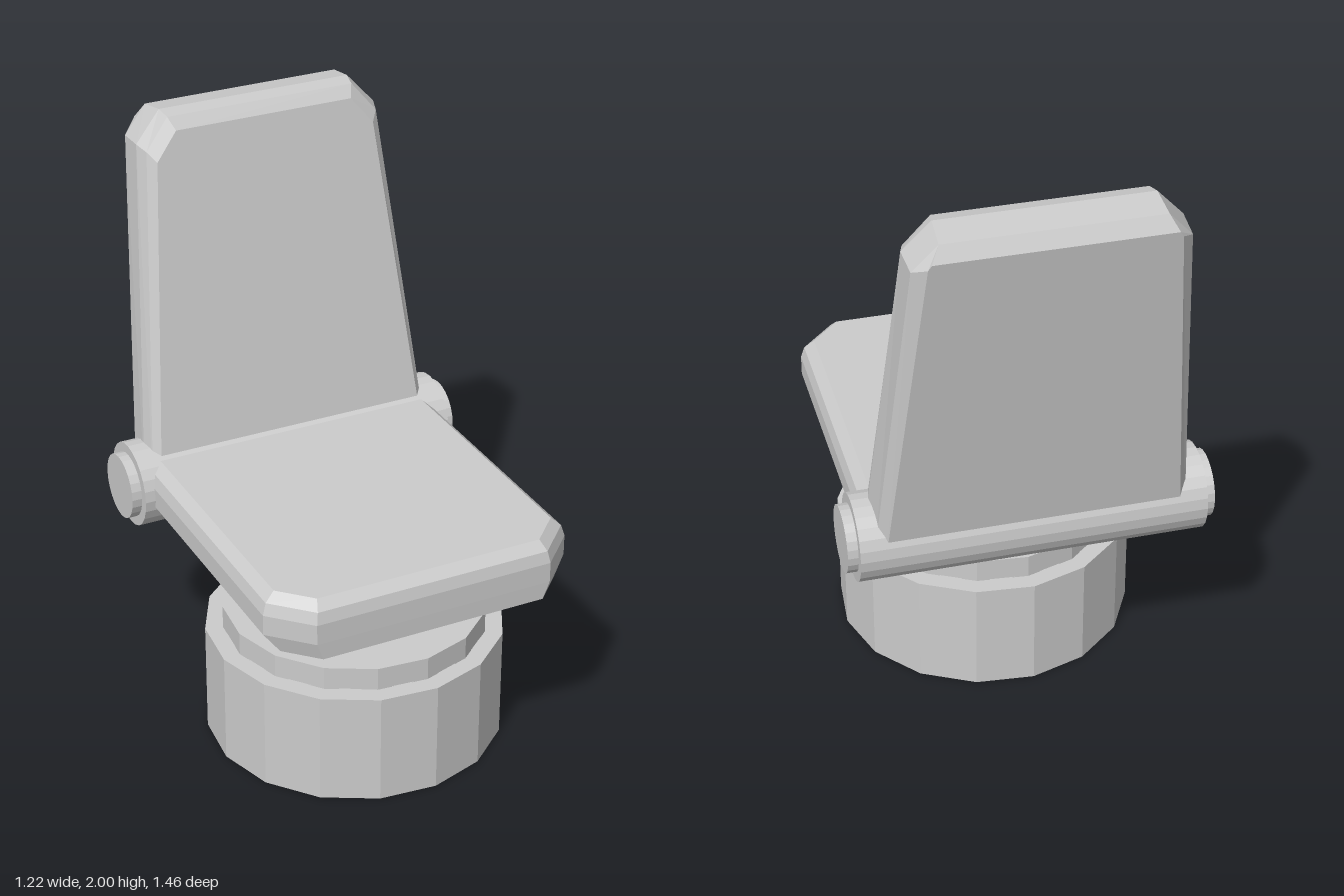
import * as THREE from 'three';

const material = new THREE.MeshStandardMaterial({ color: 0xcccccc, flatShading: true, side: THREE.DoubleSide });

function part(name, geometry) {
  const mesh = new THREE.Mesh(geometry, material);
  mesh.name = name;
  return mesh;
}

// Skin between counter-clockwise outlines stacked along z, capped at both ends
function loft(layers) {
  const n = layers[0].points.length;
  const positions = layers.flatMap(({ z, points }) => points.flatMap(([x, y]) => [x, y, z]));
  const index = [];
  for (let k = 0; k < layers.length - 1; k++) {
    for (let i = 0; i < n; i++) {
      const a = k * n + i, b = k * n + (i + 1) % n;
      index.push(a, b, b + n, a, b + n, a + n);
    }
  }
  const last = (layers.length - 1) * n;
  for (let i = 1; i < n - 1; i++) {
    index.push(0, i + 1, i, last, last + i, last + i + 1);
  }
  const geometry = new THREE.BufferGeometry();
  geometry.setAttribute('position', new THREE.Float32BufferAttribute(positions, 3));
  geometry.setIndex(index);
  const flat = geometry.toNonIndexed();
  flat.computeVertexNormals();
  return flat;
}

// Seat outline: half width, front depth, cut front corners
const seatLayer = (height, w, front, cut) => ({
  z: height,
  points: [[w, 0.4], [-w, 0.4], [-w, cut - front], [cut - w, -front], [w - cut, -front], [w, cut - front]],
});

// Backrest outline: half widths at the bottom, shoulder and top
const backLayer = (z, bottom, shoulder, shoulderY, top, topY) => ({
  z,
  points: [[-bottom, 0], [bottom, 0], [shoulder, shoulderY], [top, topY], [-top, topY], [-shoulder, shoulderY]],
});

export function createModel() {
  const model = new THREE.Group();
  model.name = 'swivelSeat';
  const chair = new THREE.Group();
  chair.name = 'chair';
  chair.rotation.y = 0.01;
  model.add(chair);

  // Stepped pedestal, open underneath
  const profile = [
    [0.505, 0], [0.505, 0.39], [0.445, 0.39], [0.445, 0.47], [0.18, 0.47],
    [0.18, 0.56], [0.345, 0.56], [0.345, 0.68], [0, 0.68],
  ].map(([r, y]) => new THREE.Vector2(r, y));
  const pedestal = part('pedestal', new THREE.LatheGeometry(profile, 16, 0.1));
  pedestal.position.z = 0.156;
  const floor = part('pedestalInnerPlate', new THREE.CircleGeometry(0.445, 16, 0.1).rotateX(Math.PI / 2));
  floor.position.set(0, 0.392, 0.156);
  chair.add(pedestal, floor);

  // Cushion with bevelled sides and cut front corners
  chair.add(part('seat', loft([
    seatLayer(0.67, 0.49, 0.72, 0.1),
    seatLayer(0.73, 0.537, 0.722, 0.125),
    seatLayer(0.8, 0.537, 0.722, 0.125),
    seatLayer(0.84, 0.525, 0.712, 0.12),
    seatLayer(0.87, 0.492, 0.68, 0.1),
  ]).rotateX(-Math.PI / 2)));

  // Hinge bar with end caps
  const hinge = new THREE.Group();
  hinge.name = 'hinge';
  hinge.position.set(0, 0.757, -0.4);
  hinge.add(part('hingeBar', new THREE.CylinderGeometry(0.145, 0.145, 1.145, 24).rotateZ(Math.PI / 2)));
  for (const side of [-1, 1]) {
    const cap = part('hingeCap', new THREE.CylinderGeometry(0.112, 0.112, 0.06, 24).rotateZ(Math.PI / 2));
    cap.position.x = side * 0.577;
    hinge.add(cap);
  }

  // Tapered, reclined backrest
  const backrest = part('backrest', loft([
    backLayer(-0.12, 0.487, 0.383, 1.195, 0.372, 1.213),
    backLayer(-0.083, 0.515, 0.425, 1.165, 0.345, 1.257),
    backLayer(0.025, 0.527, 0.43, 1.155, 0.34, 1.257),
    backLayer(0.072, 0.515, 0.415, 1.135, 0.332, 1.238),
    backLayer(0.096, 0.493, 0.39, 1.1, 0.315, 1.194),
  ]));
  backrest.rotation.x = -0.175;
  hinge.add(backrest);
  chair.add(hinge);

  return model;
}
